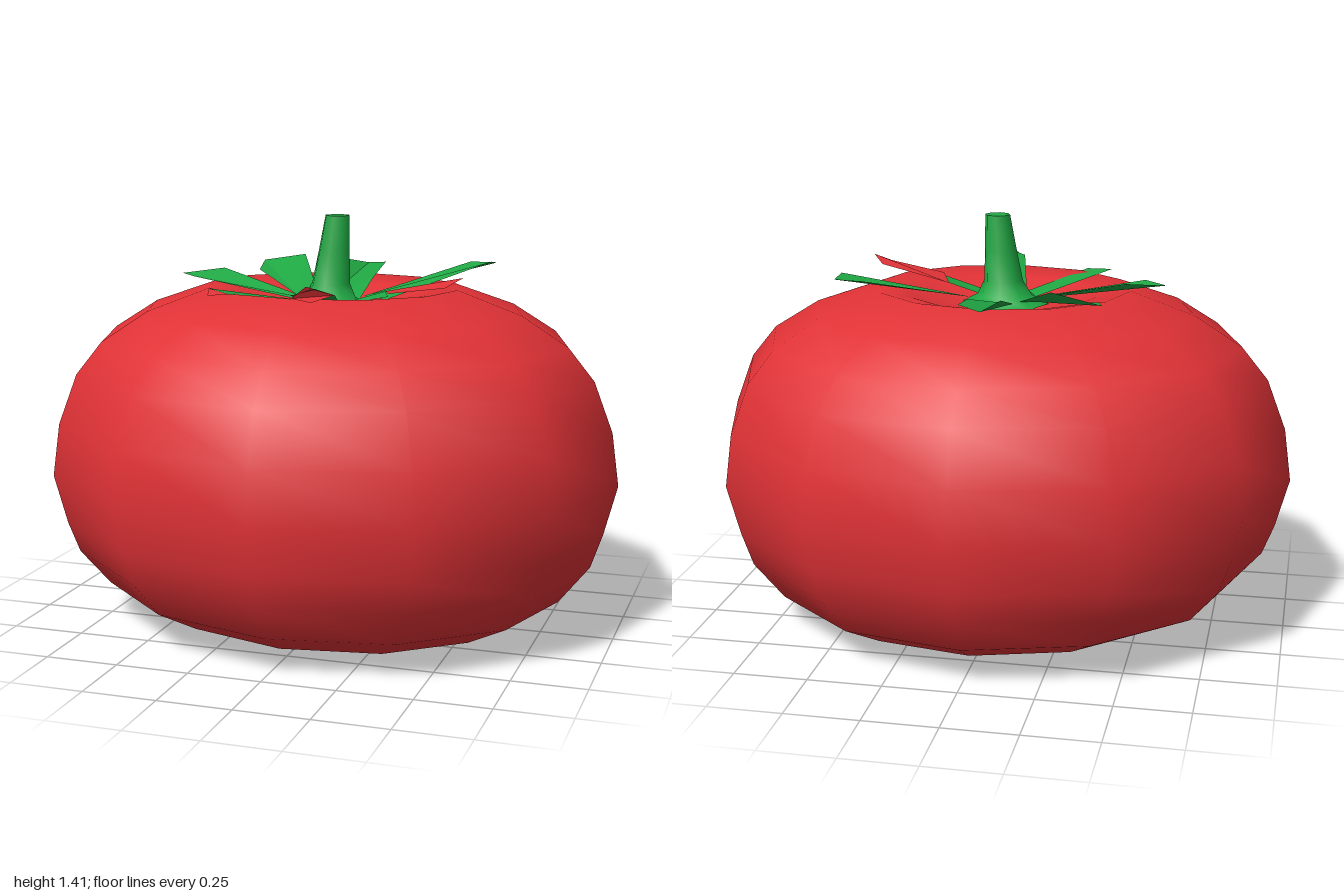
import * as THREE from 'three';

const RED = new THREE.MeshStandardMaterial({ color: 0xe03236 });
const GREEN = new THREE.MeshStandardMaterial({ color: 0x20a844 });
const leafMaterial = (base) => {
  const m = base.clone();
  m.side = THREE.DoubleSide;
  return m;
};
const LEAF_GREEN = leafMaterial(GREEN);
const LEAF_RED = leafMaterial(RED);

const lathe = (profile, sides) =>
  new THREE.LatheGeometry(profile.map(([r, y]) => new THREE.Vector2(r, y)), sides);

function add(parent, name, geometry, material) {
  const mesh = new THREE.Mesh(geometry, material);
  mesh.name = name;
  parent.add(mesh);
}

// Flat fan over a loop of corners
function fan(corners) {
  const pos = [];
  for (let i = 1; i < corners.length - 1; i++) {
    for (const p of [corners[0], corners[i], corners[i + 1]]) pos.push(...p);
  }
  const g = new THREE.BufferGeometry();
  g.setAttribute('position', new THREE.Float32BufferAttribute(pos, 3));
  g.computeVertexNormals();
  return g;
}

// Squashed twelve-sided fruit with a dimpled top and slightly tilted bottom
function fruitGeometry() {
  const g = lathe([
    [0, 0.02], [0.45, 0.018], [0.65, 0.055], [0.81, 0.135], [0.915, 0.26], [0.955, 0.37],
    [1, 0.54], [0.975, 0.72], [0.91, 0.89], [0.82, 1.0], [0.66, 1.1], [0.44, 1.177],
    [0.33, 1.155], [0.18, 1.11], [0, 1.08],
  ], 12);
  g.scale(1, 1, 0.88);
  const p = g.attributes.position;
  for (let i = 0; i < p.count; i++) {
    const low = Math.max(0, 1 - p.getY(i) / 0.4);
    p.setY(i, Math.max(0, p.getY(i) - 0.03 * low * p.getX(i)));
  }
  return g;
}

// Each leaf: narrow root pair, then wide corner, tip, wide corner
const LEAVES = [
  { name: 'backLeaf', root: [[-0.04, 1.12, -0.02], [0.08, 1.12, -0.03]],
    end: [[0.07, 1.18, -0.25], [0.05, 1.21, -0.48], [-0.03, 1.2, -0.53], [-0.08, 1.22, -0.44]] },
  { name: 'backLeftLeaf', root: [[0.1, 1.14, -0.03], [0.2, 1.14, 0.03]],
    end: [[0.5, 1.25, -0.24], [0.505, 1.24, -0.31], [0.41, 1.24, -0.32]] },
  { name: 'backRightLeaf', root: [[-0.13, 1.13, -0.02], [-0.06, 1.13, -0.03]],
    end: [[-0.23, 1.24, -0.38], [-0.4, 1.21, -0.41], [-0.37, 1.19, -0.27]] },
  { name: 'rightLeaf', root: [[-0.08, 1.13, 0.02], [-0.1, 1.13, 0.06]],
    end: [[-0.48, 1.2, 0.085], [-0.56, 1.2, 0], [-0.43, 1.215, -0.075]] },
  { name: 'frontRightLeaf', root: [[-0.1, 1.13, 0.06], [-0.05, 1.13, 0.14]],
    end: [[-0.24, 1.18, 0.36], [-0.335, 1.19, 0.31]],
    red: [[-0.24, 1.18, 0.36], [-0.315, 1.175, 0.375], [-0.335, 1.19, 0.31]] },
  { name: 'frontLeaf', root: [[-0.06, 1.13, 0.13], [0.07, 1.13, 0.14]],
    end: [[0.14, 1.2, 0.42], [0.09, 1.225, 0.475], [0.01, 1.2, 0.47]],
    red: [[0.14, 1.2, 0.42], [0.09, 1.185, 0.51], [0.01, 1.19, 0.47], [0.06, 1.23, 0.47]] },
  { name: 'leftLeaf', root: [[0.07, 1.13, 0.05], [0.07, 1.13, 0.13]],
    end: [[0.25, 1.17, 0.185], [0.2, 1.17, 0.05]],
    red: [[0.2, 1.17, 0.05], [0.45, 1.22, 0.09], [0.5, 1.24, 0.17], [0.45, 1.21, 0.22], [0.25, 1.18, 0.185]] },
];

export function createModel() {
  const model = new THREE.Group();
  model.name = 'fruitWithStem';
  add(model, 'fruit', fruitGeometry(), RED);

  // Flared stem, leaning slightly as it rises
  const stem = lathe([[0.15, 1.11], [0.095, 1.14], [0.068, 1.19], [0.055, 1.3], [0.043, 1.42]], 8);
  const top = new THREE.CircleGeometry(0.043, 8).rotateX(-Math.PI / 2).translate(0, 1.42, 0);
  for (const g of [stem, top]) {
    const p = g.attributes.position;
    for (let i = 0; i < p.count; i++) {
      const t = (p.getY(i) - 1.11) / 0.31;
      p.setX(i, p.getX(i) + 0.022 * t);
      p.setZ(i, p.getZ(i) + 0.05 - 0.03 * t);
    }
  }
  add(model, 'stem', stem, GREEN);
  add(model, 'stemTop', top, GREEN);

  // Leaves fanned around the stem, some with red ends
  const leaves = new THREE.Group();
  leaves.name = 'leaves';
  for (const { name, root, end, red } of LEAVES) {
    add(leaves, name, fan([...root, ...end]), LEAF_GREEN);
    if (red) add(leaves, name + 'Tip', fan(red), LEAF_RED);
  }
  model.add(leaves);
  return model;
}
